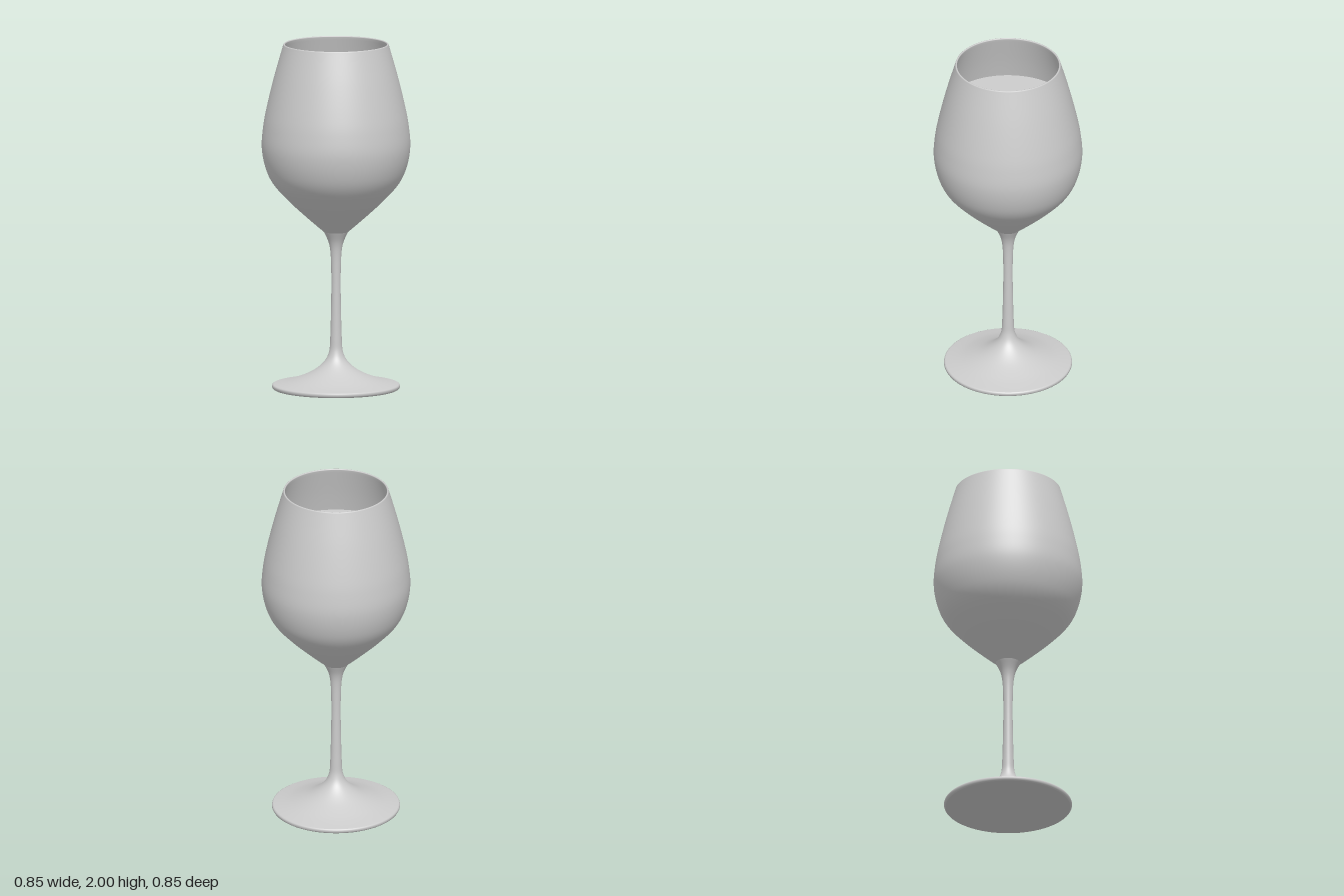
import * as THREE from 'three';

const SEGMENTS = 96;
const material = new THREE.MeshStandardMaterial({ color: 0xcccccc });

// Outer bowl silhouette as [radius, height], from the stem joint to the rim.
const BOWL = [
  [0.07, 0.91], [0.168, 0.995], [0.27, 1.09], [0.36, 1.19], [0.405, 1.285],
  [0.426, 1.4], [0.418, 1.52], [0.396, 1.64], [0.355, 1.81], [0.303, 1.994],
];
// Foot and stem silhouette, from the upper edge of the foot to the bowl.
const STEM = [
  [0.36, 0.027], [0.257, 0.051], [0.15, 0.094], [0.075, 0.15], [0.041, 0.212],
  [0.033, 0.3], [0.028, 0.5], [0.027, 0.65], [0.031, 0.78], [0.043, 0.85], [0.07, 0.91],
];

const vec = ([r, y]) => new THREE.Vector2(r, y);
const smooth = (points, count) => new THREE.SplineCurve(points.map(vec)).getPoints(count);

function turned(name, points) {
  const mesh = new THREE.Mesh(new THREE.LatheGeometry(points, SEGMENTS), material);
  mesh.name = name;
  return mesh;
}

export function createModel() {
  const group = new THREE.Group();
  group.name = 'wineGlass';

  // Bowl: outer wall, rounded rim, then inner wall offset by the glass thickness
  const wall = 0.011;
  const outer = smooth(BOWL, 64);
  const inner = smooth(BOWL.map(([r, y], i) => [
    r - wall, y + (i < 3 ? 0.015 : 0),
  ]), 64);
  const rim = [];
  for (let i = 1; i < 6; i++) {
    const a = (i / 6) * Math.PI;
    rim.push(vec([0.303 - wall / 2 + (Math.cos(a) * wall) / 2, 1.994 + Math.sin(a) * 0.006]));
  }
  group.add(turned('bowl', [...outer, ...rim, ...inner.slice().reverse(), vec([0, inner[0].y])]));

  // Drink: fills the inside of the bowl up to a flat surface
  const level = 1.71;
  const body = inner.filter((p) => p.y < level).map((p) => vec([p.x - 0.001, p.y]));
  const above = inner.find((p) => p.y >= level);
  const below = body[body.length - 1];
  const t = (level - below.y) / (above.y - below.y);
  const edge = vec([THREE.MathUtils.lerp(below.x, above.x - 0.001, t), level]);
  group.add(turned('drinkBody', [...body, edge]));
  group.add(turned('drinkSurface', [edge, vec([0, level])]));

  // Stem flaring into the foot, with a cap closing its top under the bowl
  group.add(turned('stem', smooth(STEM, 80)));
  group.add(turned('stemCap', [vec([0.07, 0.91]), vec([0, 0.91])]));

  // Rounded edge of the foot and its flat underside
  group.add(turned('footEdge', [
    [0.357, 0], [0.363, 0.004], [0.367, 0.011], [0.367, 0.019], [0.365, 0.024], [0.36, 0.027],
  ].map(vec)));
  group.add(turned('footBase', [vec([0, 0]), vec([0.357, 0])]));

  return group;
}
